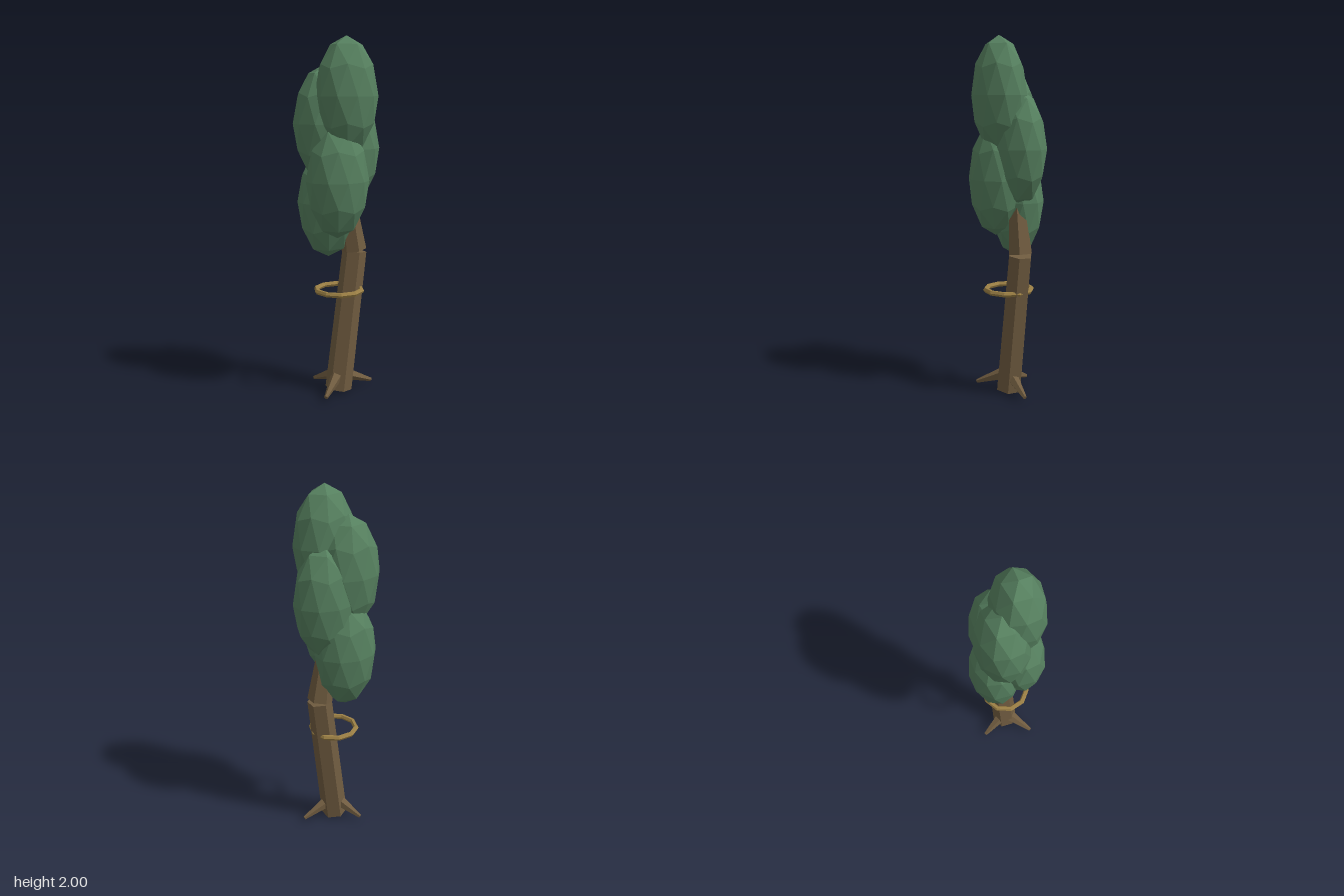
import * as THREE from 'three';

const flat = (name, color) => {
  const m = new THREE.MeshStandardMaterial({ color, flatShading: true });
  m.name = name;
  return m;
};

export function createModel() {
  const leafGreen = flat('leafGreen', 0x56805f);
  const barkBrown = flat('barkBrown', 0x705c40);
  const ropeGold = flat('ropeGold', 0x9c8045);
  const tree = new THREE.Group();
  tree.name = 'tree';

  const add = (name, geometry, material) => {
    const mesh = new THREE.Mesh(geometry, material);
    mesh.name = name;
    tree.add(mesh);
    return mesh;
  };

  // Tapered straight limb between two points
  const limb = (name, from, to, r0, r1, sides) => {
    const a = new THREE.Vector3(...from);
    const dir = new THREE.Vector3(...to).sub(a);
    const mesh = add(name, new THREE.CylinderGeometry(r1, r0, dir.length(), sides), barkBrown);
    mesh.position.copy(a).addScaledVector(dir, 0.5);
    mesh.quaternion.setFromUnitVectors(new THREE.Vector3(0, 1, 0), dir.normalize());
  };

  // Two-part bent trunk
  limb('lowerTrunk', [-0.002, 0.01, -0.003], [0.105, 0.813, -0.02], 0.076, 0.069, 6);
  limb('upperTrunk', [0.103, 0.82, -0.022], [0.045, 1.23, -0.02], 0.071, 0.036, 6);

  // Three roots splayed around the base
  [[0.205, 0], [-0.14, 0.137], [-0.09, -0.16]].forEach(([x, z], i) => {
    limb(`root${i + 1}`, [x * 0.2, 0.092, z * 0.2], [x, 0.027, z], 0.036, 0.011, 5);
  });

  // Ring around the trunk
  const ring = add('ring', new THREE.TorusGeometry(0.13, 0.015, 6, 10), ropeGold);
  ring.rotation.x = Math.PI / 2;
  ring.position.y = 0.6;

  // Faceted leaf clumps: icosphere turned so one corner is the pole
  const clump = new THREE.IcosahedronGeometry(1, 1);
  clump.rotateZ(-Math.atan(2 / (1 + Math.sqrt(5))));
  clump.scale(0.178, 0.317, 0.145);
  [
    [0.015, 1.683, 0.065],
    [-0.035, 1.228, 0.062],
    [0.07, 1.397, -0.028],
    [-0.07, 1.535, -0.035],
    [-0.035, 1.1, -0.067],
  ].forEach((p, i) => add(`leafClump${i + 1}`, clump, leafGreen).position.set(...p));

  return tree;
}
